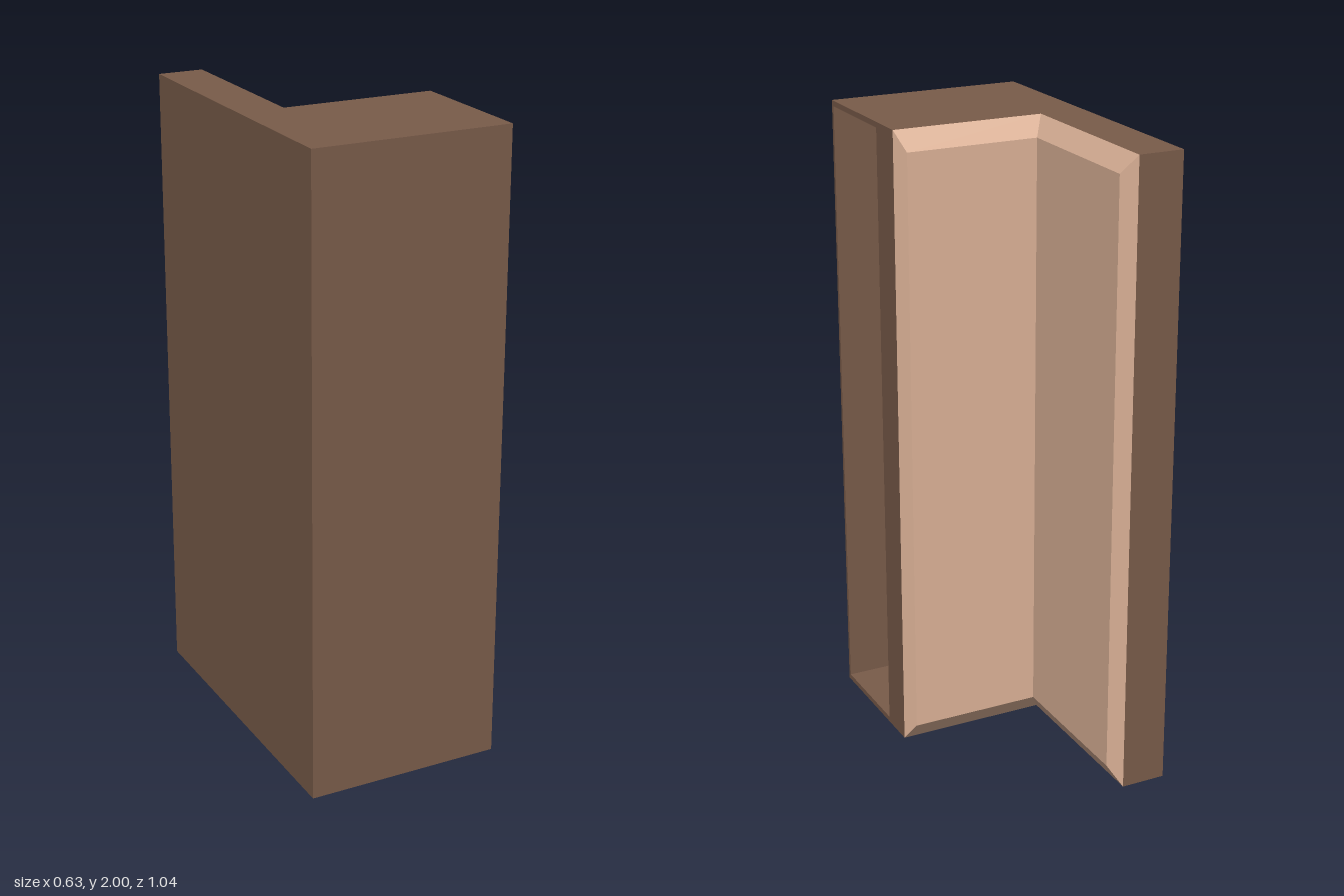
import * as THREE from 'three';

const brown = new THREE.MeshStandardMaterial({ color: 0x7a5c4a });
const tan = new THREE.MeshStandardMaterial({ color: 0xdeb499, flatShading: true });

const H = 2, X = 0.313, Z = 0.52; // height, half width, half depth
const wallX = -0.17, blockZ = 0.06; // inner corner of the L
const bevel = 0.06;

function rectPath(path, x0, y0, x1, y1) {
  path.moveTo(x0, y0).lineTo(x1, y0).lineTo(x1, y1).lineTo(x0, y1).closePath();
  return path;
}

function box(name, x0, x1, z0, z1) {
  const mesh = new THREE.Mesh(new THREE.BoxGeometry(x1 - x0, H, z1 - z0), brown);
  mesh.position.set((x0 + x1) / 2, H / 2, (z0 + z1) / 2);
  mesh.name = name;
  return mesh;
}

// Bevelled panel: outer edges a, b and raised inner edges ai, bi, each [x, z], left to right seen from outside
function panel(name, a, b, ai, bi) {
  const ring = (l, r, y0, y1) => [[l, y0], [r, y0], [r, y1], [l, y1]].map(([p, y]) => [p[0], y, p[1]]);
  const base = ring(a, b, 0, H), top = ring(ai, bi, bevel, H - bevel);
  const pos = [];
  const quad = (p, q, r, s) => pos.push(...p, ...q, ...r, ...p, ...r, ...s);
  for (let i = 0; i < 4; i++) {
    const j = (i + 1) % 4;
    quad(base[i], base[j], top[j], top[i]);
  }
  quad(...top);
  const geo = new THREE.BufferGeometry();
  geo.setAttribute('position', new THREE.Float32BufferAttribute(pos, 3));
  geo.computeVertexNormals();
  const mesh = new THREE.Mesh(geo, tan);
  mesh.name = name;
  return mesh;
}

export function createModel() {
  const group = new THREE.Group();
  group.name = 'corner case';

  // Front block, hollow and open on its +x side
  const closedX = -X + 0.012;
  const shape = rectPath(new THREE.Shape(), -Z, 0, -blockZ, H);
  shape.holes.push(rectPath(new THREE.Path(), -0.508, 0.017, -0.18, H - 0.017));
  const geo = new THREE.ExtrudeGeometry(shape, { depth: X - closedX, bevelEnabled: false });
  geo.rotateY(Math.PI / 2).translate(closedX, 0, 0);
  const block = new THREE.Mesh(geo, brown);
  block.name = 'hollowBlock';
  group.add(block);
  group.add(box('pocketBack', -X, closedX, blockZ, Z));

  // Side wall running to the back
  group.add(box('sideWall', -X, wallX, -Z, blockZ));

  // Two raised panels mitred along the inner corner
  const corner = [wallX, blockZ], innerCorner = [-0.135, 0.017];
  group.add(panel('wallPanel', corner, [wallX, -Z], innerCorner, [-0.135, -0.475]));
  group.add(panel('blockPanel', [X, blockZ], corner, [0.288, 0.017], innerCorner));

  return group;
}
